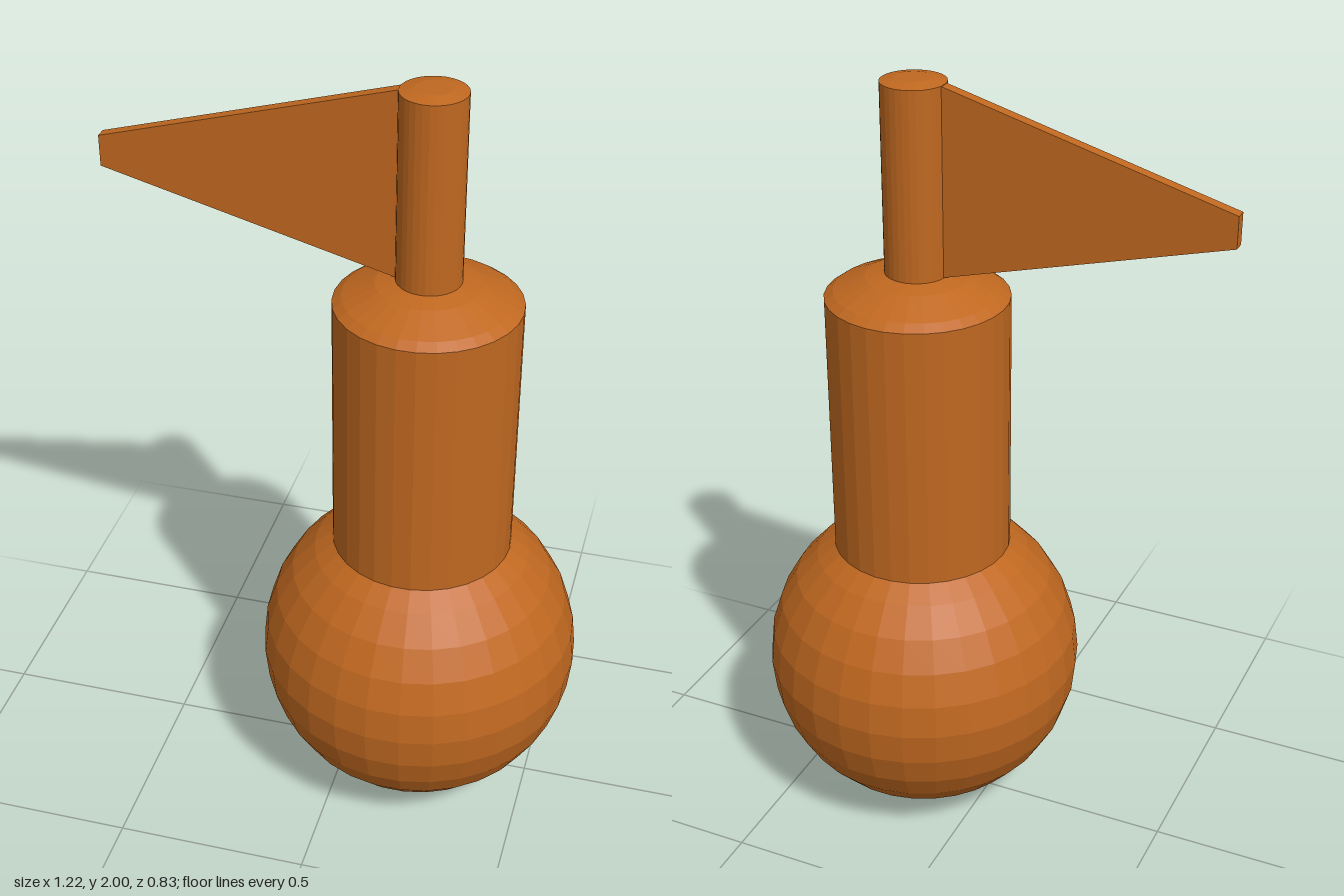
import * as THREE from 'three';

const SIDES = 30, R = 0.415, AXIS = 0.19;
const STEM = 0.23, POLE = 0.08;

// Points of the faceted ball outline (rings set half a step off the poles) between two polar angles, in degrees
function arc(centerY, from, to) {
  const points = [];
  for (let a = from; a <= to; a += 12) {
    const t = THREE.MathUtils.degToRad(a);
    points.push(new THREE.Vector2(R * Math.sin(t), centerY - R * Math.cos(t)));
  }
  return points;
}

const p = (x, y) => new THREE.Vector2(x, y);

export function createModel() {
  const model = new THREE.Group();
  const material = new THREE.MeshStandardMaterial({
    color: 0xc06820, flatShading: true, side: THREE.DoubleSide,
  });

  const add = (name, geometry) => {
    const mesh = new THREE.Mesh(geometry, material);
    mesh.name = name;
    model.add(mesh);
    return mesh;
  };
  const turned = (name, points) => {
    const geometry = new THREE.LatheGeometry(points, SIDES);
    geometry.rotateY(Math.PI / 2);
    add(name, geometry).position.x = AXIS;
  };

  // Round base, open where the stem sinks in
  turned('ballBase', [p(0, 0), ...arc(0.416, 6, 138), p(STEM, 0.762)]);

  // Stem with a shallow domed shoulder
  turned('stem', [p(STEM, 0.762), p(STEM, 1.455), ...arc(1.112, 150, 162), p(POLE, 1.517)]);

  // Thin pole with a slightly domed tip
  turned('pole', [p(POLE, 1.517), p(POLE, 1.992), p(0.043, 2), p(0, 2)]);

  // Tapered flag, its root buried in the pole
  const outline = new THREE.Shape([
    p(-0.61, 1.715), p(0.12, 1.516), p(0.15, 1.516), p(0.15, 1.992), p(0.115, 1.992), p(-0.61, 1.793),
  ]);
  const flag = new THREE.ExtrudeGeometry(outline, { depth: 0.03, bevelEnabled: false });
  flag.translate(0, 0, -0.015);
  add('flag', flag);

  return model;
}
